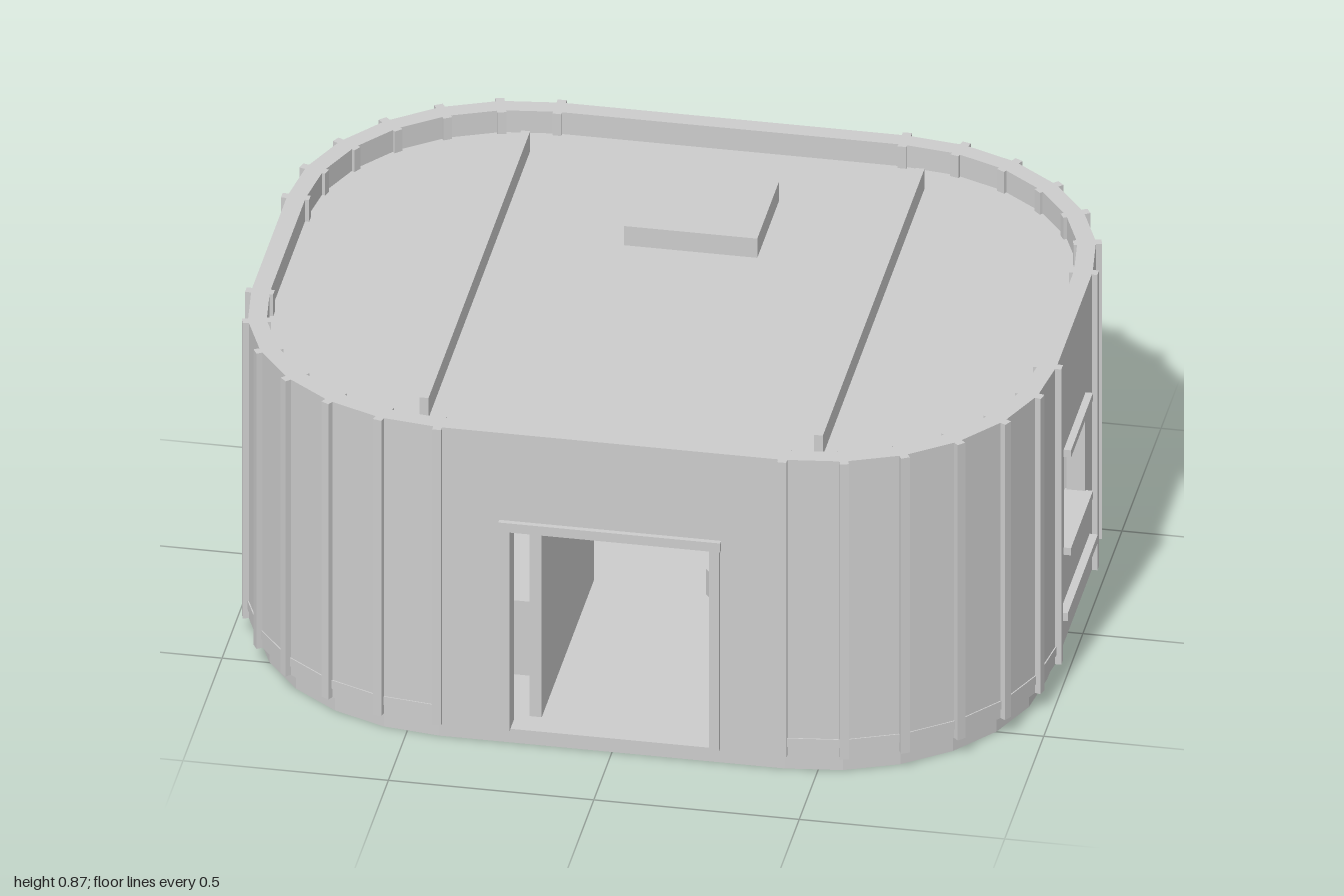
import * as THREE from 'three';

const CX = 0.42, CZ = 0.23; // corner arc centres
const STEPS = 6;            // facets per corner
const FLOOR = 0.05, ROOF = 0.805, TOP = 0.865;

export function createModel() {
  const group = new THREE.Group();
  const grey = new THREE.MeshStandardMaterial({ color: 0xcccccc });
  grey.name = 'plain grey';

  function add(name, geometry, parent = group) {
    const mesh = new THREE.Mesh(geometry, grey);
    mesh.name = name;
    parent.add(mesh);
    return mesh;
  }

  // box given by its min and max on each axis
  function box(name, x0, x1, y0, y1, z0, z1, parent = group) {
    const g = new THREE.BoxGeometry(x1 - x0, y1 - y0, z1 - z0);
    g.translate((x0 + x1) / 2, (y0 + y1) / 2, (z0 + z1) / 2);
    return add(name, g, parent);
  }

  // faceted arc around the corner with quadrant signs sx, sz
  function arc(r, sx, sz) {
    const pts = [];
    for (let i = 0; i <= STEPS; i++) {
      const a = (i / STEPS) * Math.PI / 2;
      pts.push(new THREE.Vector2(sx * (CX + r * Math.cos(a)), -sz * (CZ + r * Math.sin(a))));
    }
    return pts;
  }

  // plan outline raised from y0 to y1
  function raise(points, y0, y1) {
    const g = new THREE.ExtrudeGeometry(new THREE.Shape(points), { depth: y1 - y0, bevelEnabled: false });
    g.rotateX(-Math.PI / 2);
    g.translate(0, y0, 0);
    return g;
  }

  const slab = (r) => [
    ...arc(r, 1, 1), ...arc(r, -1, 1).reverse(),
    ...arc(r, -1, -1), ...arc(r, 1, -1).reverse(),
  ];
  const curve = (inner, outer, sx, sz) => [...arc(outer, sx, sz), ...arc(inner, sx, sz).reverse()];

  // floor slab and sunken roof
  add('floorSlab', raise(slab(0.537), 0, FLOOR));
  add('roof', raise(slab(0.53), ROOF - 0.045, ROOF));

  // rounded corners with ribs inside and out
  for (const sx of [1, -1]) for (const sz of [1, -1]) {
    add('cornerWall', raise(curve(0.515, 0.56, sx, sz), FLOOR, TOP));
    add('cornerSkirting', raise(curve(0.55, 0.563, sx, sz), 0.075, 0.098));
    for (let i = 0; i <= STEPS; i++) {
      const a = (i / STEPS) * Math.PI / 2;
      for (const [r, w] of [[0.562, 0.023], [0.515, 0.02]]) {
        const rib = add('wallRib', new THREE.BoxGeometry(0.022, TOP - FLOOR, w));
        rib.position.set(sx * (CX + r * Math.cos(a)), (TOP + FLOOR) / 2, sz * (CZ + r * Math.sin(a)));
        rib.rotation.y = Math.atan2(sx * Math.cos(a), sz * Math.sin(a));
      }
    }
  }

  // straight wall with a rectangular opening, facing +z
  function panel(name, half, hx, y0, y1, parent) {
    const s = new THREE.Shape();
    s.moveTo(-half, FLOOR); s.lineTo(half, FLOOR); s.lineTo(half, TOP); s.lineTo(-half, TOP);
    const h = new THREE.Path();
    h.moveTo(-hx, y0); h.lineTo(-hx, y1); h.lineTo(hx, y1); h.lineTo(hx, y0);
    s.holes.push(h);
    add(name, new THREE.ExtrudeGeometry(s, { depth: 0.045, bevelEnabled: false }), parent);
  }

  // door walls, front and back
  for (const turn of [0, Math.PI]) {
    const wall = new THREE.Group();
    wall.name = 'doorWall';
    const inner = new THREE.Group();
    inner.position.z = 0.745;
    wall.add(inner);
    panel('doorPanel', CX, 0.243, FLOOR + 0.001, 0.6, inner);
    box('doorLintel', -0.27, 0.27, 0.6, 0.625, 0.785, 0.803, wall);
    for (const s of [-1, 1]) {
      const c = s * 0.255;
      box('doorJamb', c - 0.012, c + 0.012, FLOOR, 0.6, 0.785, 0.801, wall);
    }
    wall.rotation.y = turn;
    group.add(wall);
  }

  // window walls, left and right
  for (const s of [1, -1]) {
    const wall = new THREE.Group();
    wall.name = 'windowWall';
    const inner = new THREE.Group();
    inner.position.z = 0.935;
    wall.add(inner);
    panel('windowPanel', CZ, 0.135, 0.315, 0.565, inner);
    box('windowHead', -0.14, 0.14, 0.565, 0.585, 0.93, 0.998, wall);
    box('windowSill', -0.14, 0.14, 0.295, 0.315, 0.93, 0.998, wall);
    box('lowerRail', -0.192, 0.192, 0.143, 0.165, 0.975, 1.0, wall);
    wall.rotation.y = s * Math.PI / 2;
    group.add(wall);
  }

  // roof beams and hatch
  for (const s of [-1, 1]) box('roofBeam', s * 0.48 - 0.011, s * 0.48 + 0.011, ROOF, 0.86, -0.65, 0.65);
  box('roofHatch', -0.165, 0.16, ROOF, 0.858, -0.53, -0.25);

  // partition beside the front door
  box('partition', -0.21, -0.18, FLOOR, 0.59, 0.05, 0.72);

  // counters in opposite corners
  for (const [x0, x1, z0, z1] of [[0.235, 0.72, -0.54, -0.37], [-0.72, -0.21, 0.37, 0.54]]) {
    box('counterBody', x0 + 0.015, x1 - 0.015, FLOOR, 0.238, z0 + 0.01, z1 - 0.01);
    box('counterTop', x0, x1, 0.238, 0.26, z0, z1);
  }

  // faceted cabin standing on a low tray, open to the front
  const ring = (r, from, to) => Array.from({ length: to - from + 1 }, (_, i) => {
    const a = (from + i + 0.5) * Math.PI / 5;
    return new THREE.Vector2(0.305 + r * Math.cos(a), r * Math.sin(a));
  });
  add('cabinTray', raise(ring(0.22, 0, 9), FLOOR, 0.12));
  add('cabinWall', raise([...ring(0.21, -2, 6), ...ring(0.195, -2, 6).reverse()], 0.12, ROOF - 0.045));

  return group;
}
